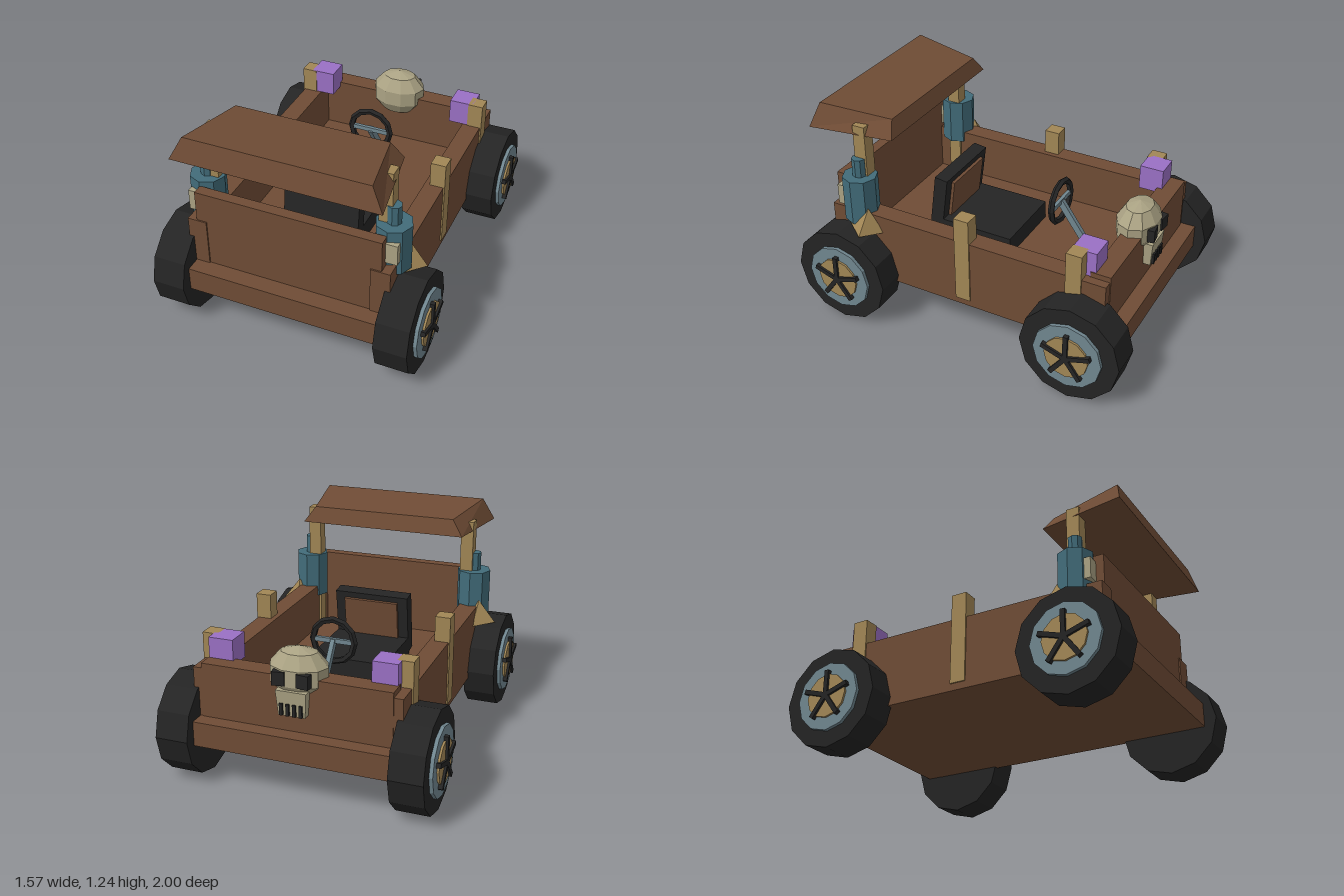
import * as THREE from 'three';

const mat = (name, color) => {
  const m = new THREE.MeshStandardMaterial({ color, flatShading: true });
  m.name = name;
  return m;
};

export function createModel() {
  const wood = mat('brown wood', 0x6f4c35);
  const tan = mat('tan timber', 0xa18655);
  const teal = mat('teal metal', 0x426c7a);
  const steel = mat('blue grey steel', 0x70868f);
  const bone = mat('bone', 0xaaa283);
  const purple = mat('purple', 0x9a70c4);
  const black = mat('black rubber', 0x242424);

  const model = new THREE.Group();
  model.name = 'buggy';

  const add = (name, geo, material, parent = model) => {
    const mesh = new THREE.Mesh(geo, material);
    mesh.name = name;
    parent.add(mesh);
    return mesh;
  };
  // Box given by its lower and upper corners
  const box = (name, material, [x0, y0, z0], [x1, y1, z1], parent = model) => {
    const geo = new THREE.BoxGeometry(x1 - x0, y1 - y0, z1 - z0);
    geo.translate((x0 + x1) / 2, (y0 + y1) / 2, (z0 + z1) / 2);
    return add(name, geo, material, parent);
  };
  // Same box on both sides of the body
  const pair = (name, material, [x0, y0, z0], [x1, y1, z1]) => {
    box(name + 'Left', material, [x0, y0, z0], [x1, y1, z1]);
    box(name + 'Right', material, [-x1, y0, z0], [-x0, y1, z1]);
  };

  // Open wooden tub
  box('chassis', wood, [-0.55, 0.24, -0.93], [0.55, 0.38, 0.93]);
  pair('sideWall', wood, [0.47, 0.24, -0.84], [0.58, 0.655, 0.84]);
  box('frontPanel', wood, [-0.53, 0.36, 0.77], [0.53, 0.835, 0.832]);
  box('rearPanel', wood, [-0.53, 0.36, -0.845], [0.53, 0.685, -0.73]);

  // Timber posts, corner blocks and bone plates
  pair('middlePost', tan, [0.5, 0.28, -0.045], [0.588, 0.8, 0.045]);
  pair('rearPost', tan, [0.5, 0.28, -0.705], [0.588, 0.8, -0.615]);
  pair('roofPost', tan, [0.455, 0.28, 0.625], [0.53, 1.165, 0.7]);
  pair('cornerBlock', purple, [0.385, 0.655, -0.76], [0.525, 0.8, -0.62]);
  pair('bonePlate', bone, [0.48, 0.68, 0.75], [0.595, 0.8, 0.787]);

  // Roof: a box with its corners moved into a tapered slab
  const roofGeo = new THREE.BoxGeometry(1, 1, 1);
  const p = roofGeo.attributes.position;
  for (let i = 0; i < p.count; i++) {
    const front = p.getZ(i) > 0;
    const side = Math.sign(p.getX(i));
    if (p.getY(i) > 0) {
      p.setXYZ(i, side * (front ? 0.51 : 0.435), front ? 1.24 : 1.205, front ? 0.92 : 0.503);
    } else {
      p.setXYZ(i, side * (front ? 0.577 : 0.5), 1.112, front ? 0.955 : 0.47);
    }
  }
  roofGeo.computeVertexNormals();
  add('roof', roofGeo, wood);

  // Exhaust stacks with a spike beside each
  for (const s of [1, -1]) {
    const stack = new THREE.Group();
    stack.name = s > 0 ? 'stackLeft' : 'stackRight';
    stack.position.set(s * 0.532, 0, 0.675);
    model.add(stack);
    add('stackBody', new THREE.CylinderGeometry(0.1, 0.1, 0.27, 8), teal, stack).position.y = 0.728;
    add('stackPipe', new THREE.CylinderGeometry(0.04, 0.04, 0.12, 8), teal, stack).position.y = 0.91;
    const spike = add('spike', new THREE.ConeGeometry(0.105, 0.13, 4), tan);
    spike.position.set(s * 0.59, 0.63, 0.603);
    spike.rotation.set(-0.15, s * 0.15, 0);
  }

  // Wheels, built with the axle along +x
  for (const s of [1, -1]) {
    for (const z of [0.715, -0.715]) {
      const wheel = new THREE.Group();
      wheel.name = (z > 0 ? 'front' : 'rear') + (s > 0 ? 'WheelLeft' : 'WheelRight');
      wheel.position.set(0, 0.288, z);
      if (s < 0) wheel.rotation.y = Math.PI;
      model.add(wheel);
      const disc = (name, material, r, x0, x1) => {
        const geo = new THREE.CylinderGeometry(r, r, x1 - x0, 12);
        geo.rotateZ(Math.PI / 2);
        geo.rotateX(Math.PI / 2);
        add(name, geo, material, wheel).position.x = (x0 + x1) / 2;
      };
      disc('tyre', black, 0.286, 0.552, 0.738);
      disc('rim', steel, 0.195, 0.6, 0.758);
      disc('hub', tan, 0.125, 0.6, 0.77);
      for (let i = 0; i < 5; i++) {
        const spoke = box('spoke', black, [0.75, 0, -0.013], [0.783, 0.145, 0.013], wheel);
        spoke.rotation.x = i * Math.PI * 2 / 5;
      }
    }
  }

  // Seat with a slightly tilted backrest
  box('seatCushion', black, [-0.225, 0.37, -0.1], [0.225, 0.49, 0.37]);
  const back = new THREE.Group();
  back.name = 'backrest';
  back.position.set(0, 0.4, 0.39);
  back.rotation.x = -0.13;
  model.add(back);
  box('backrestFrame', black, [-0.225, 0, -0.04], [0.225, 0.36, 0.04], back);
  box('backrestPanel', wood, [-0.165, 0.07, -0.058], [0.165, 0.325, -0.03], back);

  // Steering wheel and column
  const steering = new THREE.Group();
  steering.name = 'steering';
  steering.position.set(0, 0.685, -0.305);
  model.add(steering);
  add('steeringRing', new THREE.TorusGeometry(0.122, 0.019, 5, 12), black, steering);
  box('steeringBar', steel, [-0.115, -0.013, -0.01], [0.115, 0.013, 0.01], steering);
  const column = box('steeringColumn', steel, [-0.013, -0.36, -0.02], [0.013, 0, 0.02], steering);
  column.rotation.x = 0.62;

  // Skull ornament facing the rear
  const skull = new THREE.Group();
  skull.name = 'skull';
  model.add(skull);
  const cranium = add('cranium', new THREE.SphereGeometry(1, 10, 5), bone, skull);
  cranium.scale.set(0.17, 0.145, 0.125);
  cranium.position.set(0, 0.69, -0.777);
  const jaw = new THREE.CylinderGeometry(0.12, 0.105, 0.14, 4, 1);
  jaw.rotateY(Math.PI / 4);
  add('jaw', jaw, bone, skull).position.set(0, 0.555, -0.812);
  for (const s of [1, -1]) {
    const eye = add('eyeSocket', new THREE.BoxGeometry(0.068, 0.075, 0.04), black, skull);
    eye.position.set(s * 0.068, 0.69, -0.883);
    eye.rotation.y = s * 0.12;
  }
  for (let i = 0; i < 4; i++) {
    const x = (i - 1.5) * 0.036;
    box('toothGap', black, [x - 0.009, 0.49, -0.902], [x + 0.009, 0.555, -0.88], skull);
  }

  return model;
}
